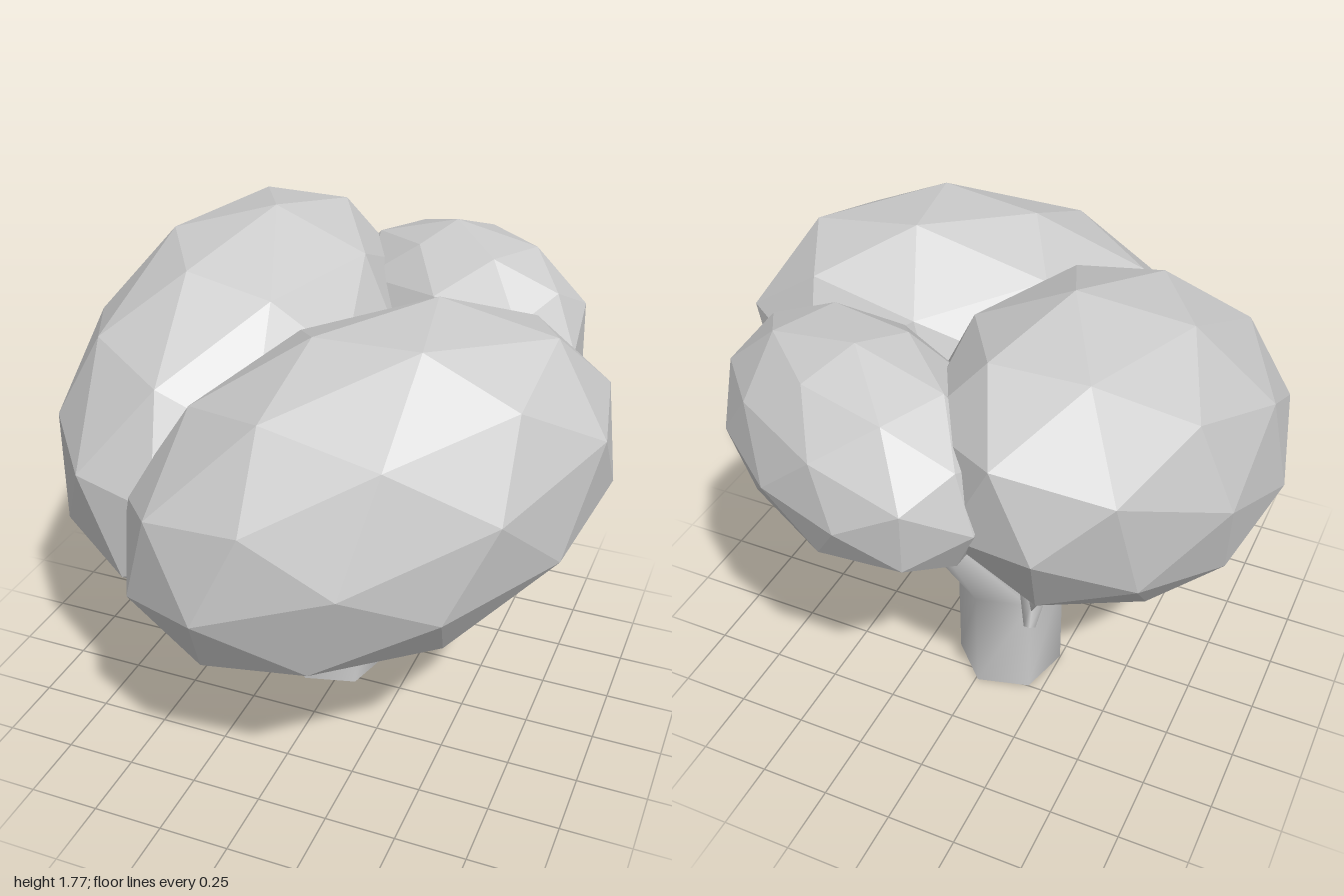
import * as THREE from 'three';
import { mergeVertices } from 'three/addons/utils/BufferGeometryUtils.js';

const V = (x, y, z) => new THREE.Vector3(x, y, z);
const grey = { color: 0xcccccc };

// Stretched low-poly ball lying along the given axis
function crown(name, centre, axis, length, radius) {
  const mesh = new THREE.Mesh(
    new THREE.IcosahedronGeometry(1, 1),
    new THREE.MeshStandardMaterial({ ...grey, flatShading: true }));
  mesh.name = name;
  mesh.position.copy(centre);
  mesh.scale.set(radius, radius, length);
  mesh.quaternion.setFromUnitVectors(V(0, 0, 1), axis.normalize());
  return mesh;
}

// Joins successive rings of points with outward-facing triangles
function loft(out, rings) {
  for (let r = 0; r + 1 < rings.length; r++) {
    const low = rings[r], high = rings[r + 1], n = low.length;
    for (let i = 0; i < n; i++) {
      const j = (i + 1) % n;
      for (const p of [low[i], high[i], low[j], low[j], high[i], high[j]]) out.push(p.x, p.y, p.z);
    }
  }
}

// Copy of a ring, scaled about its middle and moved to a new centre
function moveRing(ring, centre, scale) {
  const mid = ring.reduce((s, p) => s.add(p), V(0, 0, 0)).divideScalar(ring.length);
  return ring.map(p => p.clone().sub(mid).multiplyScalar(scale).add(centre));
}

export function createModel() {
  const tree = new THREE.Group();
  tree.name = 'tree';

  // Leaf crowns
  tree.add(
    crown('frontCrown', V(0.25, 1.085, 0.345), V(1, 0.425, -0.76), 0.86, 0.565),
    crown('rightCrown', V(-0.41, 1.145, -0.075), V(0.1, 0.43, -0.89), 0.865, 0.57),
    crown('backCrown', V(0.23, 1.3, -0.595), V(0.88, 0.08, 0.43), 0.56, 0.37));

  // Six-sided trunk; its top splits into three branches that meet in the middle
  const radius = 0.195, start = Math.PI / 4, forkY = 0.42;
  const trunkRing = y => Array.from({ length: 6 }, (_, i) => {
    const a = start + i * Math.PI / 3;
    return V(-0.06 + radius * Math.cos(a), y, -0.11 + radius * Math.sin(a));
  });
  const top = trunkRing(forkY), fork = V(-0.06, forkY, -0.11);
  const points = [];
  loft(points, [trunkRing(0), top]);

  // Each branch: first trunk corner, then [centre, scale] along its path
  const branches = [
    [5, [[V(0.1, 0.66, 0.07), 0.55], [V(0.16, 0.9, 0.2), 0.4]]],
    [1, [[V(-0.36, 0.83, -0.59), 0.38], [V(-0.41, 0.95, -0.66), 0.25]]],
    [3, [[V(0.22, 0.86, -0.4), 0.4], [V(0.23, 1.08, -0.45), 0.45]]],
  ];
  for (const [corner, path] of branches) {
    const base = [fork, ...[0, 1, 2].map(i => top[(corner + i) % 6])];
    loft(points, [base, ...path.map(([c, s]) => moveRing(base, c, s))]);
  }
  let wood = new THREE.BufferGeometry();
  wood.setAttribute('position', new THREE.Float32BufferAttribute(points, 3));
  wood = mergeVertices(wood);
  wood.computeVertexNormals();
  const bark = new THREE.MeshStandardMaterial({ ...grey, side: THREE.DoubleSide });
  const trunk = new THREE.Mesh(wood, bark);
  trunk.name = 'trunkAndBranches';
  tree.add(trunk);

  // Flat underside of the trunk
  const foot = new THREE.Mesh(new THREE.CircleGeometry(radius, 6, start).rotateX(Math.PI / 2), bark);
  foot.name = 'trunkBase';
  foot.position.set(-0.06, 0, -0.11);
  tree.add(foot);

  // Short twigs at the branch ends
  const twig = (name, from, to, r0, r1) => {
    const dir = to.clone().sub(from);
    const mesh = new THREE.Mesh(new THREE.CylinderGeometry(r1, r0, dir.length(), 5), bark);
    mesh.name = name;
    mesh.position.copy(from).addScaledVector(dir, 0.5);
    mesh.quaternion.setFromUnitVectors(V(0, 1, 0), dir.normalize());
    tree.add(mesh);
  };
  twig('backTwig', V(0.23, 0.87, -0.4), V(0.0, 0.99, -0.38), 0.05, 0.035);
  twig('rightTwig', V(-0.36, 0.86, -0.6), V(-0.37, 0.76, -0.65), 0.045, 0.02);

  return tree;
}
